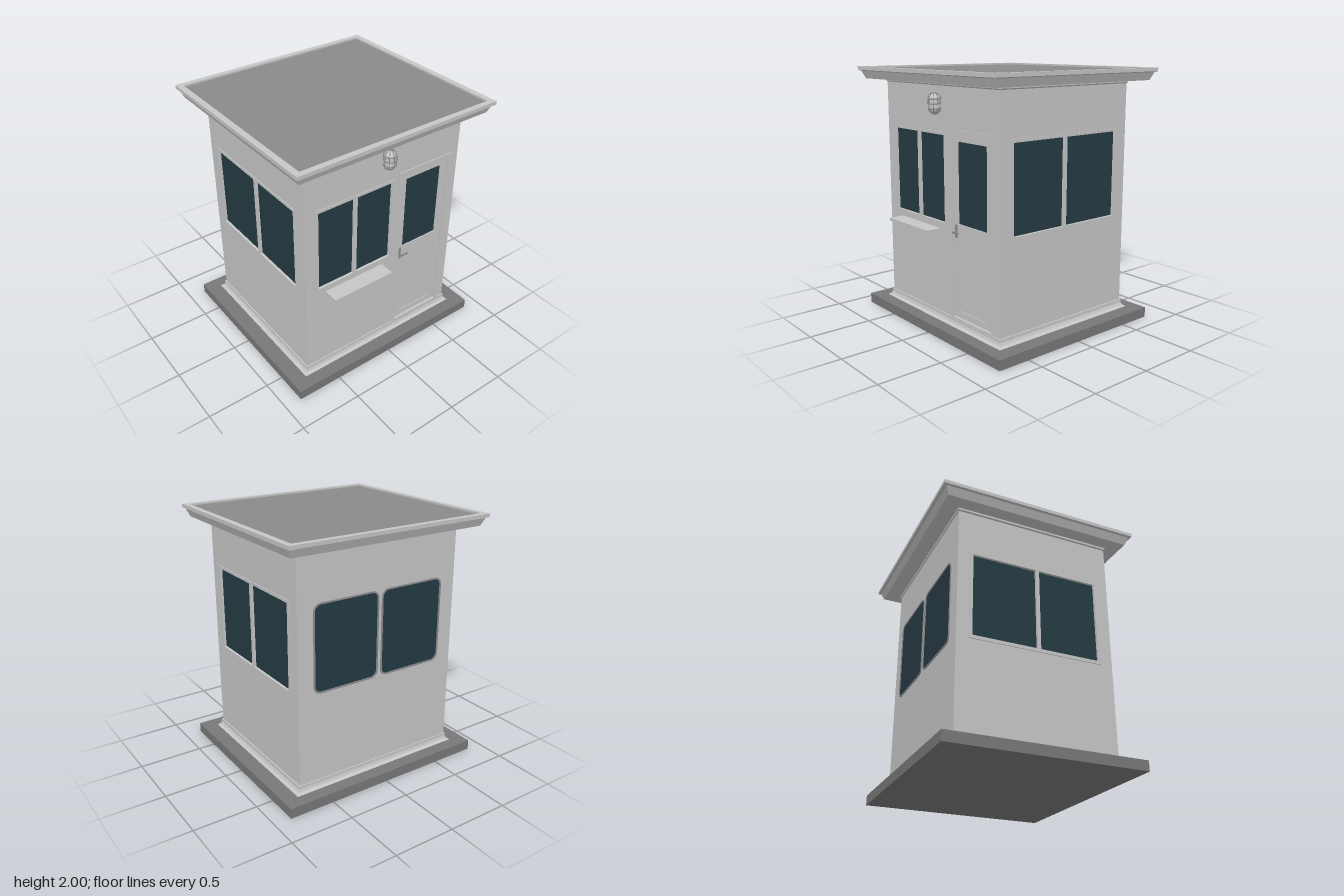
import * as THREE from 'three';

const material = (name, color) => {
  const m = new THREE.MeshStandardMaterial({ color });
  m.name = name;
  return m;
};

// Rectangle outline [x0, y0, x1, y1] with optional corner radius
function outline([x0, y0, x1, y1], r = 0, Type = THREE.Shape) {
  const p = new Type();
  if (!r) {
    p.moveTo(x0, y0).lineTo(x1, y0).lineTo(x1, y1).lineTo(x0, y1).closePath();
    return p;
  }
  p.absarc(x1 - r, y0 + r, r, -Math.PI / 2, 0);
  p.absarc(x1 - r, y1 - r, r, 0, Math.PI / 2);
  p.absarc(x0 + r, y1 - r, r, Math.PI / 2, Math.PI);
  p.absarc(x0 + r, y0 + r, r, Math.PI, Math.PI * 1.5);
  p.closePath();
  return p;
}

// Flat plate with openings; its outer face lies at z = front
function plate(name, mat, rect, holes, depth, front, r = 0, holeR = 0) {
  const shape = outline(rect, r);
  holes.forEach((h) => shape.holes.push(outline(h, holeR, THREE.Path)));
  const geo = new THREE.ExtrudeGeometry(shape, { depth, bevelEnabled: false, curveSegments: 6 });
  geo.translate(0, 0, front - depth);
  const mesh = new THREE.Mesh(geo, mat);
  mesh.name = name;
  return mesh;
}

// Stack of rectangular cross-sections [halfX, y, halfZ], with a cap on the last
function rectLoft(name, mat, sections, capStart = false, capEnd = false) {
  const pos = [];
  const loops = sections.map(([x, y, z]) => [[x, y, z], [x, y, -z], [-x, y, -z], [-x, y, z]]);
  const quad = (a, b, c, d) => pos.push(...a, ...b, ...c, ...a, ...c, ...d);
  for (let i = 0; i < loops.length - 1; i++) {
    for (let k = 0; k < 4; k++) {
      const n = (k + 1) % 4;
      quad(loops[i][k], loops[i][n], loops[i + 1][n], loops[i + 1][k]);
    }
  }
  if (capStart) quad(...[...loops[0]].reverse());
  if (capEnd) quad(...loops[loops.length - 1]);
  const geo = new THREE.BufferGeometry();
  geo.setAttribute('position', new THREE.Float32BufferAttribute(pos, 3));
  geo.computeVertexNormals();
  const mesh = new THREE.Mesh(geo, mat);
  mesh.name = name;
  return mesh;
}

function box(name, mat, size, at) {
  const mesh = new THREE.Mesh(new THREE.BoxGeometry(...size), mat);
  mesh.position.set(...at);
  mesh.name = name;
  return mesh;
}

export function createModel() {
  const wallMat = material('wall paint', 0xc6c6c6);
  const roofMat = material('roof covering', 0x8a8a8a);
  const baseMat = material('base concrete', 0x787878);
  const glassMat = material('dark glass', 0x253b43);
  const metalMat = material('grey metal', 0x8c8c8c);

  const W = 0.705, D = 0.63, T = 0.05, Y0 = 0.08, Y1 = 1.91;
  const model = new THREE.Group();
  model.name = 'guardBooth';

  // Base slab and coved skirting
  model.add(box('base', baseMat, [1.73, 0.08, 1.535], [0, 0.04, 0]));
  model.add(rectLoft('skirting', wallMat, [
    [0.745, 0.08, 0.665], [0.725, 0.095, 0.645], [0.715, 0.115, 0.638],
    [0.714, 0.14, 0.637], [0.7, 0.141, 0.625]]));

  // Roof: soffit, sloped fascia, rim and sunken top
  model.add(rectLoft('roofRim', wallMat, [
    [0.82, 1.905, 0.76], [0.845, 1.965, 0.785], [0.862, 1.972, 0.807],
    [0.862, 2, 0.807], [0.815, 2, 0.762], [0.815, 1.985, 0.762]], true));
  model.add(box('roofTop', roofMat, [1.63, 0.008, 1.524], [0, 1.982, 0]));
  model.add(rectLoft('cornice', wallMat, [
    [0.704, 1.88, 0.629], [0.714, 1.89, 0.638], [0.714, 1.906, 0.638]]));

  // Each side is built facing +z, then turned into place
  const side = (name, angle, distance) => {
    const g = new THREE.Group();
    g.name = name;
    g.rotation.y = angle;
    g.position.set(Math.sin(angle) * distance, 0, Math.cos(angle) * distance);
    model.add(g);
    return g;
  };

  // Framed sliding window with two panes
  const slidingWindow = (g, [x0, y0, x1, y1], mid) => {
    const panes = [[x0 + 0.025, y0 + 0.027, mid - 0.014, y1 - 0.022],
      [mid + 0.014, y0 + 0.027, x1 - 0.025, y1 - 0.022]];
    g.add(plate('windowFrame', wallMat, [x0, y0, x1, y1], panes, 0.04, 0.006));
    panes.forEach((p) => g.add(plate('windowGlass', glassMat, p, [], 0.006, -0.014)));
  };

  // Front wall with window and doorway
  const front = side('front', 0, D);
  const frontWin = [-0.615, 0.835, 0.09, 1.545];
  const doorway = [0.13, 0.142, 0.64, 1.575];
  front.add(plate('frontWall', wallMat, [-W, Y0, W, Y1], [frontWin, doorway], T, 0));
  slidingWindow(front, frontWin, -0.266);

  // Door frame, leaf, glass, lower panel and handle
  const leaf = [0.163, 0.15, 0.612, 1.545];
  const doorGlass = [0.213, 0.878, 0.55, 1.49];
  const lowerPanel = [0.213, 0.2, 0.55, 0.8];
  front.add(plate('doorFrame', wallMat, doorway, [leaf], T, 0.008));
  front.add(plate('doorLeaf', wallMat, leaf, [doorGlass, lowerPanel], 0.03, -0.012));
  front.add(plate('doorGlass', glassMat, doorGlass, [], 0.006, -0.02));
  front.add(plate('doorPanel', wallMat, lowerPanel, [], 0.01, -0.018));
  front.add(box('handlePlate', metalMat, [0.018, 0.1, 0.008], [0.188, 0.82, -0.009]));
  front.add(box('handleStem', metalMat, [0.012, 0.012, 0.03], [0.188, 0.815, 0.005]));
  front.add(box('handleLever', metalMat, [0.07, 0.012, 0.01], [0.212, 0.815, 0.02]));

  // Counter shelf
  front.add(box('shelf', wallMat, [0.53, 0.025, 0.125], [-0.265, 0.795, 0.0625]));

  // Bulkhead lamp with wire cage
  const lamp = new THREE.Group();
  lamp.name = 'lamp';
  lamp.position.set(0, 1.752, 0.034);
  const bulb = new THREE.Mesh(new THREE.CapsuleGeometry(0.044, 0.064, 8, 20), wallMat);
  bulb.name = 'lampBulb';
  lamp.add(bulb);
  [-0.036, 0, 0.036].forEach((y) => {
    const ring = new THREE.Mesh(new THREE.TorusGeometry(0.047, 0.004, 6, 24), metalMat);
    ring.rotation.x = Math.PI / 2;
    ring.position.y = y;
    ring.name = 'cageRing';
    lamp.add(ring);
  });
  for (let i = 0; i < 4; i++) {
    const hoop = new THREE.Mesh(new THREE.TorusGeometry(0.047, 0.003, 6, 32), metalMat);
    const p = hoop.geometry.attributes.position;
    for (let k = 0; k < p.count; k++) p.setY(k, p.getY(k) + Math.sign(p.getY(k)) * 0.031);
    hoop.rotation.y = (i * Math.PI) / 4;
    hoop.name = 'cageHoop';
    lamp.add(hoop);
  }
  front.add(lamp);

  // Side walls with wide sliding windows
  for (const s of [1, -1]) {
    const g = side(s > 0 ? 'leftSide' : 'rightSide', (s * Math.PI) / 2, W);
    const win = [-0.535, 0.835, 0.535, 1.545];
    g.add(plate('sideWall', wallMat, [-D + T, Y0, D - T, Y1], [win], T, 0));
    slidingWindow(g, win, -s * 0.015);
  }

  // Back wall with two round-cornered panes in gaskets
  const back = side('back', Math.PI, D);
  const backPanes = [[-0.565, 0.855, -0.025, 1.51], [0.025, 0.855, 0.565, 1.51]];
  back.add(plate('backWall', wallMat, [-W, Y0, W, Y1], backPanes, T, 0, 0, 0.05));
  backPanes.forEach((p) => {
    const [x0, y0, x1, y1] = p;
    const b = 0.012;
    const outer = [x0 - b, y0 - b, x1 + b, y1 + b];
    back.add(plate('backGasket', metalMat, outer, [p], 0.01, 0.006, 0.06, 0.05));
    back.add(plate('backGlass', glassMat, p, [], 0.006, 0, 0.05));
  });
  return model;
}
